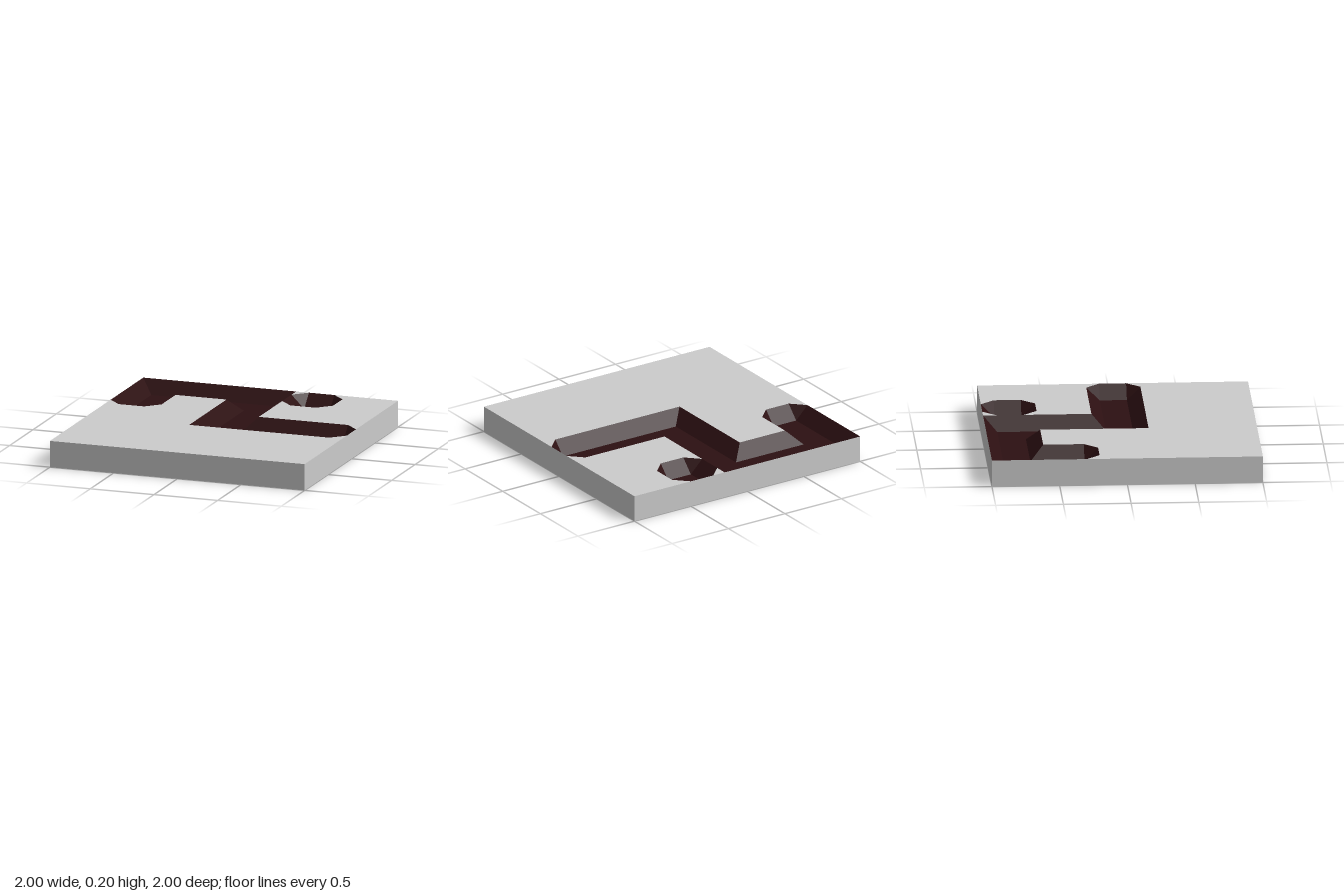
import * as THREE from 'three';

const TOP = 0.2, FLOOR = 0.1;

// Flat polygon facing up at height y, from [x, z] points
function flat(points, y) {
  const shape = new THREE.Shape(points.map(([x, z]) => new THREE.Vector2(x, -z)));
  return new THREE.ShapeGeometry(shape).rotateX(-Math.PI / 2).translate(0, y, 0);
}

// Sloped walls joining a rim to the floor point paired with each rim point
function slopes(rim, floor) {
  const pos = [];
  rim.forEach((a, i) => {
    const j = (i + 1) % rim.length;
    const b = rim[j], fa = floor[i], fb = floor[j];
    const top = ([x, z]) => [x, TOP, z], low = ([x, z]) => [x, FLOOR, z];
    pos.push(...top(a), ...low(fa), ...top(b));
    if (fa[0] !== fb[0] || fa[1] !== fb[1]) pos.push(...top(b), ...low(fa), ...low(fb));
  });
  const g = new THREE.BufferGeometry();
  g.setAttribute('position', new THREE.Float32BufferAttribute(pos, 3));
  g.computeVertexNormals();
  return g;
}

export function createModel() {
  const model = new THREE.Group();
  const grey = new THREE.MeshStandardMaterial({ color: 0xcccccc });
  const red = new THREE.MeshStandardMaterial({ color: 0x2c1012 });

  const add = (name, geometry, material, parent = model) => {
    const mesh = new THREE.Mesh(geometry, material);
    mesh.name = name;
    parent.add(mesh);
  };

  // Slab sides and underside: a box without its top face
  const box = new THREE.BoxGeometry(2, TOP, 2).translate(0, TOP / 2, 0);
  const index = Array.from(box.index.array);
  index.splice(12, 6);
  box.setIndex(index);
  add('slabSides', box, grey);

  // Top surface left around the grooves
  add('slabTopFront', flat([
    [-1, -0.3], [-0.9, -0.2], [-0.7, -0.2], [-0.6, -0.3], [-0.6, -0.6], [-0.2, -0.6],
    [-0.2, 0.2], [0.9, 0.2], [1, 0.1], [1, 1], [-1, 1],
  ], TOP), grey);
  add('slabTopBack', flat([
    [0.5, -1], [1, -1], [1, -0.1], [0.9, -0.2], [0.2, -0.2], [0.2, -0.7],
    [0.3, -0.6], [0.5, -0.6], [0.6, -0.7], [0.6, -0.9],
  ], TOP), grey);
  add('slabTopSliver', flat([[0.2, -1], [0.3, -1], [0.2, -0.9]], TOP), grey);

  // Sunken groove: floor points repeat where a chamfered corner meets one floor corner
  const groove = (name, rim, floor) => {
    const group = new THREE.Group();
    group.name = name;
    model.add(group);
    const corners = floor.filter((p, i) => {
      const q = floor[(i + 1) % floor.length];
      return p[0] !== q[0] || p[1] !== q[1];
    });
    add(name + 'Floor', flat(corners, FLOOR), red, group);
    add(name + 'Walls', slopes(rim, floor), red, group);
  };

  // Winding channel
  groove('channel', [
    [-1, -1], [0.2, -1], [0.2, -0.2], [0.9, -0.2], [1, -0.1], [1, 0.1], [0.9, 0.2],
    [-0.2, 0.2], [-0.2, -0.6], [-0.6, -0.6], [-0.6, -0.3], [-0.7, -0.2], [-0.9, -0.2], [-1, -0.3],
  ], [
    [-0.9, -0.9], [0.1, -0.9], [0.1, -0.1], [0.9, -0.1], [0.9, -0.1], [0.9, 0.1], [0.9, 0.1],
    [-0.1, 0.1], [-0.1, -0.7], [-0.7, -0.7], [-0.7, -0.3], [-0.7, -0.3], [-0.9, -0.3], [-0.9, -0.3],
  ]);

  // Separate eight-sided pit
  groove('pit', [
    [0.3, -1], [0.5, -1], [0.6, -0.9], [0.6, -0.7], [0.5, -0.6], [0.3, -0.6], [0.2, -0.7], [0.2, -0.9],
  ], [
    [0.3, -0.9], [0.5, -0.9], [0.5, -0.9], [0.5, -0.7], [0.5, -0.7], [0.3, -0.7], [0.3, -0.7], [0.3, -0.9],
  ]);

  return model;
}
